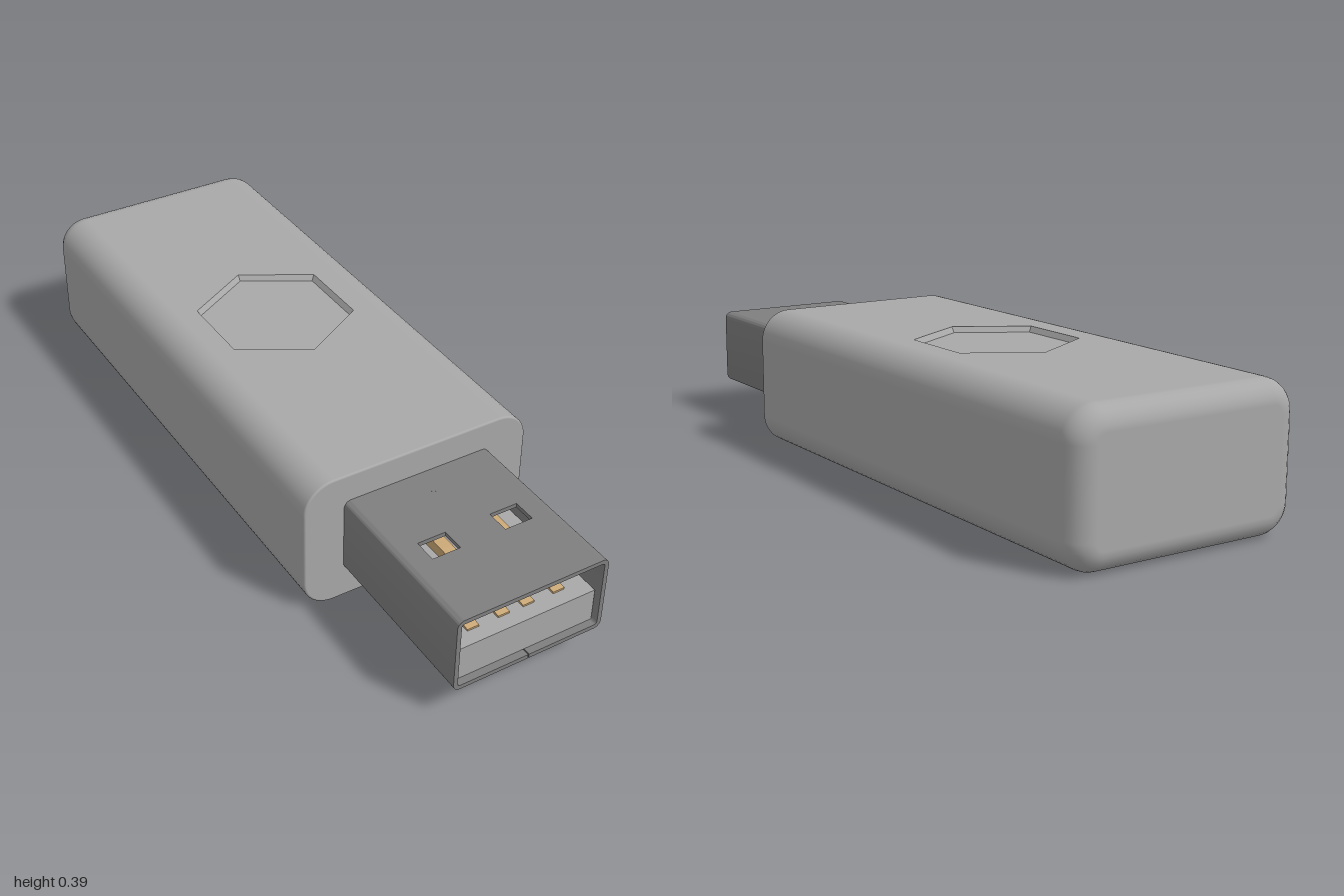
import * as THREE from 'three';
import { toCreasedNormals } from 'three/addons/utils/BufferGeometryUtils.js';

const W = 0.33, H = 0.195, R = 0.085;          // body half width, half height, corner radius
const BACK = -1, FRONT = 0.51, BACK_R = 0.06, FRONT_R = 0.006;

const plasticGrey = new THREE.MeshStandardMaterial({ color: 0xa8a8a8 });
const metalGrey = new THREE.MeshStandardMaterial({ color: 0x7f7f7f });
const contactGold = new THREE.MeshStandardMaterial({ color: 0xcba877 });

function add(parent, name, geometry, material, x = 0, y = 0, z = 0) {
  const mesh = new THREE.Mesh(geometry, material);
  mesh.name = name;
  mesh.position.set(x, y, z);
  parent.add(mesh);
  return mesh;
}

const polygon = (pts) => new THREE.Shape(pts.map(([x, y]) => new THREE.Vector2(x, y)));
const rect = (x, y, w, h) => polygon([
  [x - w / 2, y - h / 2], [x + w / 2, y - h / 2], [x + w / 2, y + h / 2], [x - w / 2, y + h / 2]]);

// Directions and corner centres of a rounded rectangle, counterclockwise
const STEPS = 10;
const outline = [];
[[1, 1], [-1, 1], [-1, -1], [1, -1]].forEach(([sx, sy], c) => {
  for (let k = 0; k <= STEPS; k++) {
    const a = (c + k / STEPS) * Math.PI / 2;
    outline.push({ cx: sx * (W - R), cy: sy * (H - R), dx: Math.cos(a), dy: Math.sin(a) });
  }
});

// Rounded walls of the body; the flat top is left open for the recessed plate
function bodyWalls() {
  const rings = [], n = 6;
  for (let k = 0; k <= n; k++) {
    const t = (1 - k / n) * Math.PI / 2;
    rings.push({ z: BACK + BACK_R * (1 - Math.sin(t)), inset: BACK_R * (1 - Math.cos(t)), t: -t });
  }
  for (let k = 0; k <= 3; k++) {
    const t = k / 3 * Math.PI / 2;
    rings.push({ z: FRONT - FRONT_R * (1 - Math.sin(t)), inset: FRONT_R * (1 - Math.cos(t)), t });
  }
  const position = [], normal = [], index = [], m = outline.length;
  rings.forEach(({ z, inset, t }, i) => outline.forEach(({ cx, cy, dx, dy }, j) => {
    position.push(cx + dx * (R - inset), cy + dy * (R - inset), z);
    normal.push(dx * Math.cos(t), dy * Math.cos(t), Math.sin(t));
    if (i === rings.length - 1 || (i === n && j === STEPS)) return;
    const a = i * m + j, b = i * m + (j + 1) % m;
    index.push(a, b, b + m, a, b + m, a + m);
  }));
  const g = new THREE.BufferGeometry();
  g.setAttribute('position', new THREE.Float32BufferAttribute(position, 3));
  g.setAttribute('normal', new THREE.Float32BufferAttribute(normal, 3));
  g.setIndex(index);
  return g;
}

const bodyCap = (inset) => new THREE.ShapeGeometry(polygon(
  outline.map((o) => [o.cx + o.dx * (R - inset), o.cy + o.dy * (R - inset)])));

function buildBody() {
  const body = new THREE.Group();
  body.name = 'body';
  add(body, 'bodyWalls', bodyWalls(), plasticGrey, 0, H);
  add(body, 'frontFace', bodyCap(FRONT_R), plasticGrey, 0, H, FRONT);
  add(body, 'backFace', bodyCap(BACK_R).rotateY(Math.PI), plasticGrey, 0, H, BACK);

  // Top plate with a hexagonal recess
  const hexZ = -0.215, hexR = 0.218, floorR = 0.207, depth = 0.015;
  const z0 = BACK + BACK_R, z1 = FRONT - FRONT_R;
  const top = rect(0, -(z0 + z1) / 2, 2 * (W - R), z1 - z0);
  const hex = [];
  for (let k = 0; k < 6; k++) {
    const a = k * Math.PI / 3;
    hex.push([hexR * Math.sin(a), -hexZ + hexR * Math.cos(a)]);
  }
  top.holes.push(polygon(hex));
  add(body, 'topFace', new THREE.ShapeGeometry(top).rotateX(-Math.PI / 2), plasticGrey, 0, 2 * H);

  let wall = new THREE.CylinderGeometry(hexR, floorR, depth, 6, 1, true);
  wall.index.array.reverse();                  // face inward
  wall = wall.toNonIndexed();
  wall.computeVertexNormals();
  add(body, 'recessWall', wall, plasticGrey, 0, 2 * H - depth / 2, hexZ);
  const floor = new THREE.CircleGeometry(floorR, 6, Math.PI / 2).rotateX(-Math.PI / 2);
  add(body, 'recessFloor', floor, plasticGrey, 0, 2 * H - depth, hexZ);
  return body;
}

function buildConnector() {
  const g = new THREE.Group();
  g.name = 'connector';
  const X = 0.216, Y0 = 0.09, Y1 = 0.31, T = 0.012, C = 0.02, Z0 = 0.5, Z1 = 1;
  const xi = X - C;                            // where the flat plates meet the side walls

  // Side walls with rounded corners
  for (const s of [1, -1]) {
    const p = new THREE.Shape();
    p.moveTo(xi, Y0);
    p.absarc(xi, Y0 + C, C, -Math.PI / 2, 0);
    p.absarc(xi, Y1 - C, C, 0, Math.PI / 2);
    p.lineTo(xi, Y1 - T);
    p.absarc(xi, Y1 - C, C - T, Math.PI / 2, 0, true);
    p.absarc(xi, Y0 + C, C - T, 0, -Math.PI / 2, true);
    p.closePath();
    const geo = toCreasedNormals(new THREE.ExtrudeGeometry(p,
      { depth: Z1 - Z0, bevelEnabled: false, curveSegments: 6 }), 0.6);
    if (s < 0) geo.rotateZ(Math.PI).translate(0, Y0 + Y1, 0);
    add(g, s > 0 ? 'leftShellWall' : 'rightShellWall', geo, metalGrey, 0, 0, Z0);
  }

  // Horizontal plates drawn as (x, -z)
  const plate = (shape) => new THREE.ExtrudeGeometry(shape,
    { depth: T, bevelEnabled: false, curveSegments: 8 }).rotateX(-Math.PI / 2);
  const windowAt = (s) => rect(s * 0.105, -0.76, 0.08, 0.064);

  const top = rect(0, -(Z0 + Z1) / 2, 2 * xi, Z1 - Z0);
  top.holes.push(windowAt(1), windowAt(-1));
  add(g, 'shellTop', plate(top), metalGrey, 0, Y1 - T);
  // Small pressed dimple
  add(g, 'dimple', new THREE.CylinderGeometry(0.009, 0.009, 0.001, 16), metalGrey, 0, Y1, 0.58);
  add(g, 'dimpleInside', new THREE.CylinderGeometry(0.016, 0.011, 0.006, 16),
    metalGrey, 0, Y1 - T - 0.002, 0.58);

  // Bottom halves interlock along a stepped seam
  const seam = [[0, Z1], [0, 0.88], [0.03, 0.865], [0.03, 0.685], [0, 0.67], [0, Z0]];
  for (const s of [1, -1]) {
    const half = polygon([[s * xi, -Z0], [s * xi, -Z1],
      ...seam.map(([x, z]) => [x + s * 0.0015, -z])]);
    half.holes.push(windowAt(s));
    add(g, s > 0 ? 'shellBottomLeft' : 'shellBottomRight', plate(half), metalGrey, 0, Y0);
  }

  // Plastic tongue in the lower half of the shell
  const tongueTop = 0.198, tongueBottom = Y0 + T - 0.004;
  add(g, 'tongue', new THREE.BoxGeometry(0.404, tongueTop - tongueBottom - 0.005, 0.48),
    plasticGrey, 0, (tongueTop + tongueBottom + 0.005) / 2, 0.74);

  // Spring contacts rising towards the back
  const ramp = polygon([[0.55, 0.19], [0.94, 0.19], [0.94, 0.203], [0.78, 0.222], [0.7, 0.228], [0.55, 0.228]]);
  [-0.125, -0.037, 0.035, 0.124].forEach((x, i) => {
    const geo = new THREE.ExtrudeGeometry(ramp, { depth: 0.033, bevelEnabled: false })
      .translate(0, 0, -0.0165).rotateY(-Math.PI / 2);
    add(g, `contact${i + 1}`, geo, contactGold, x);
  });
  return g;
}

export function createModel() {
  const model = new THREE.Group();
  model.name = 'memoryStick';
  model.add(buildBody(), buildConnector());
  return model;
}
